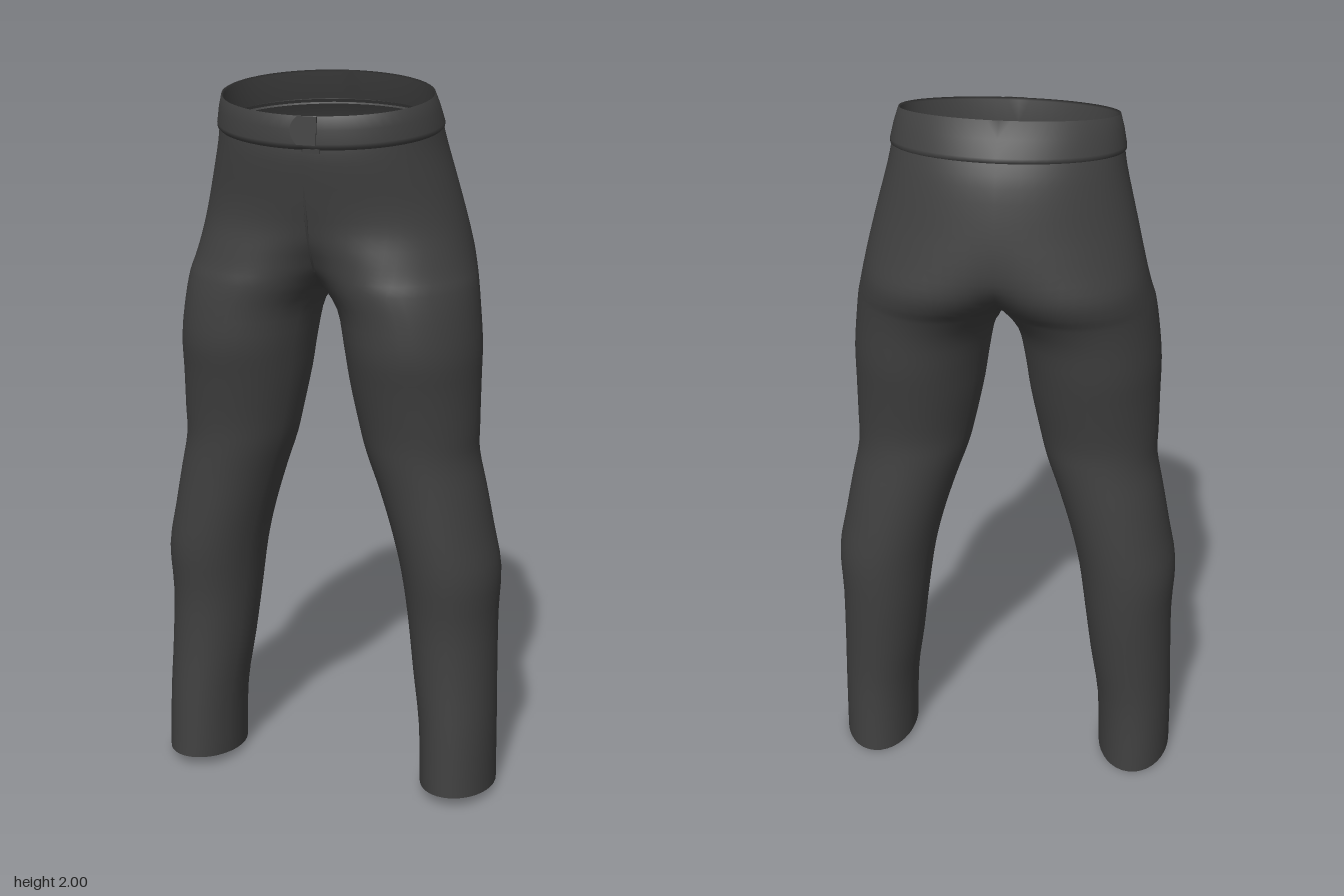
import * as THREE from 'three';
import { mergeVertices } from 'three/addons/utils/BufferGeometryUtils.js';

const OUTER = 30, INNER = 10, MAX_OPEN = 1.08;

// Each row: height, front-to-back tilt, inner x, outer x, front z, back z
const waistRows = [
  [1.890, 0.030, -0.285, 0.285, 0.240, -0.165],
  [1.960, 0.035, -0.283, 0.283, 0.248, -0.138],
  [1.965, 0.035, -0.288, 0.288, 0.256, -0.144],
  [1.928, 0.033, -0.299, 0.299, 0.262, -0.172],
  [1.890, 0.030, -0.307, 0.307, 0.265, -0.198],
  [1.880, 0.030, -0.307, 0.307, 0.263, -0.199],
  [1.872, 0.030, -0.300, 0.300, 0.252, -0.192],
];
const bodyRows = [
  [1.885, 0.030, -0.302, 0.302, 0.254, -0.191],
  [1.830, 0.020, -0.312, 0.312, 0.255, -0.222],
  [1.720, 0.010, -0.340, 0.340, 0.240, -0.250],
  [1.630, 0, -0.260, 0.362, 0.225, -0.263],
  [1.560, 0, -0.130, 0.378, 0.225, -0.263],
  [1.510, 0, -0.070, 0.390, 0.230, -0.245],
  [1.470, 0, -0.025, 0.400, 0.237, -0.222], // crotch
  [1.400, 0, 0.028, 0.410, 0.240, -0.200],
  [1.300, 0, 0.050, 0.420, 0.240, -0.185],
  [1.200, 0, 0.065, 0.420, 0.220, -0.165],
  [1.080, 0, 0.090, 0.420, 0.198, -0.143],
  [1.000, 0, 0.110, 0.420, 0.190, -0.143],
  [0.900, 0, 0.145, 0.440, 0.185, -0.150],
  [0.780, 0, 0.182, 0.463, 0.183, -0.157],
  [0.660, 0, 0.210, 0.485, 0.178, -0.160],
  [0.520, 0, 0.230, 0.480, 0.162, -0.152],
  [0.360, 0, 0.250, 0.483, 0.163, -0.137],
  [0.200, 0, 0.273, 0.488, 0.174, -0.125],
  [0.020, -0.016, 0.280, 0.490, 0.185, -0.130],
];
const CROTCH = 6;

// Smooth the rows by cubic interpolation
function subdivide(rows, steps) {
  const out = [];
  const at = i => rows[Math.max(0, Math.min(rows.length - 1, i))];
  for (let i = 0; i < rows.length - 1; i++) {
    for (let k = 0; k < steps; k++) {
      const t = k / steps;
      out.push(rows[i].map((p1, c) => {
        const p0 = at(i - 1)[c], p2 = at(i + 1)[c], p3 = at(i + 2)[c];
        return p1 + 0.5 * t * (p2 - p0 + t * (2 * p0 - 5 * p1 + 4 * p2 - p3 + t * (3 * (p1 - p2) + p3 - p0)));
      }));
    }
  }
  out.push(rows[rows.length - 1]);
  return out;
}

// Ring of points: front, round the outside to the back, then the inner thigh
function ring([y, tilt, xin, xout, zf, zb], below) {
  const cx = Math.max(0, (xin + xout) / 2), rx = xout - cx;
  const zc = (zf + zb) / 2, rz = (zf - zb) / 2;
  const s = below >= 0 ? MAX_OPEN : Math.min(MAX_OPEN, Math.asin(Math.min(1, cx / rx)));
  const points = [];
  for (let j = 0; j < OUTER + INNER; j++) {
    const inner = j > OUTER;
    const u = inner ? (j - OUTER) / INNER : j / OUTER;
    const a = inner ? Math.PI + s + u * (Math.PI - 2 * s) : -s + u * (Math.PI + 2 * s);
    let x = Math.max(0, cx + rx * Math.sin(a));
    let py = y - tilt * Math.cos(a);
    if (below > 0) x = Math.max(x, Math.min(0.02, 0.008 * below));
    else if (inner || j === 0 || j === OUTER) x = 0;
    if (below >= 0 && inner) py -= 0.02 * Math.sin(Math.PI * u) * Math.exp(-below * 0.5);
    points.push([x, py, zc + rz * Math.cos(a)]);
  }
  return points;
}

// Loft both mirrored halves; rings become closed legs from row "split" on
function loft(rows, split) {
  const count = OUTER + INNER, positions = [], index = [];
  for (const side of [1, -1]) {
    const base = positions.length / 3;
    rows.forEach((row, i) => ring(row, i - split).forEach(([x, y, z]) => positions.push(side * x, y, z)));
    for (let i = 0; i < rows.length - 1; i++) {
      const faces = i >= split ? count : OUTER;
      for (let j = 0; j < faces; j++) {
        const a = base + i * count + j, b = base + i * count + (j + 1) % count;
        const c = a + count, d = b + count;
        if (side > 0) index.push(a, c, d, a, d, b);
        else index.push(a, d, c, a, b, d);
      }
    }
  }
  const geometry = new THREE.BufferGeometry();
  geometry.setAttribute('position', new THREE.Float32BufferAttribute(positions, 3));
  geometry.setIndex(index);
  const merged = mergeVertices(geometry, 1e-4);
  merged.computeVertexNormals();
  return merged;
}

export function createModel() {
  const group = new THREE.Group();
  const cloth = new THREE.MeshStandardMaterial({ color: 0x404040, side: THREE.DoubleSide });
  cloth.name = 'charcoal cloth';
  const add = (name, geometry) => {
    const mesh = new THREE.Mesh(geometry, cloth);
    mesh.name = name;
    group.add(mesh);
    return mesh;
  };

  // Hips and both legs as one smooth cloth surface
  add('trouserBody', loft(subdivide(bodyRows, 3), CROTCH * 3));

  // Waistband with a rolled rim and tucked lower seam
  add('waistband', loft(waistRows, 100));

  // Overlapping tab at the front of the waistband
  const tab = new THREE.Shape();
  tab.moveTo(0.04, -0.036);
  tab.lineTo(0.04, 0.036);
  tab.lineTo(-0.012, 0.036);
  tab.quadraticCurveTo(-0.05, 0.005, -0.012, -0.036);
  const flap = add('waistTab', new THREE.ExtrudeGeometry(tab, { depth: 0.006, bevelEnabled: false, curveSegments: 8 }));
  flap.position.set(0, 1.893, 0.258);
  flap.rotation.x = -0.1;

  // Fly seam down the centre front
  const flyPath = new THREE.CatmullRomCurve3([
    [1.85, 0.253], [1.72, 0.239], [1.63, 0.221], [1.56, 0.194], [1.51, 0.163],
  ].map(([y, z]) => new THREE.Vector3(0, y, z)));
  add('flySeam', new THREE.TubeGeometry(flyPath, 24, 0.004, 6));

  // Small stitched tack below the tab
  const tack = add('flyTack', new THREE.BoxGeometry(0.045, 0.012, 0.008));
  tack.position.set(0.025, 1.842, 0.254);

  return group;
}
